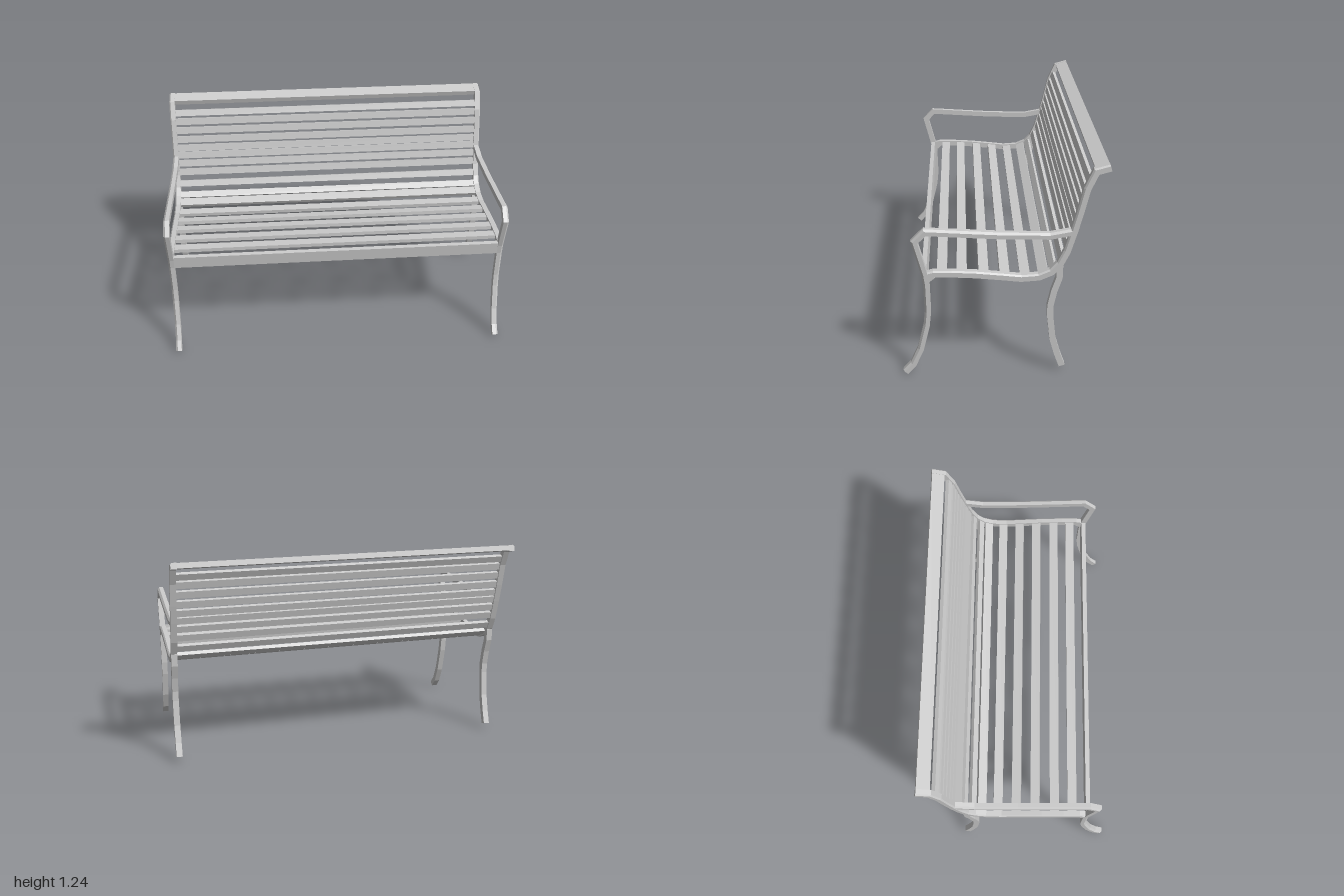
import * as THREE from 'three';

const material = new THREE.MeshStandardMaterial({ color: 0xcccccc, flatShading: true, side: THREE.DoubleSide });
const OUTER = 1.0, INNER = 0.965;

// Side profiles as [z, y] centre lines
const legAndArm = [
  [0.535, 0], [0.491, 0.05], [0.448, 0.145], [0.41, 0.3], [0.401, 0.38], [0.404, 0.55],
  [0.412, 0.61], [0.432, 0.69], [0.461, 0.804], [0.405, 0.861], [0.2, 0.847], [0, 0.834],
  [-0.25, 0.827], [-0.365, 0.848],
];
const seatAndBack = [
  [0.4, 0.607], [0.365, 0.616], [0.27, 0.615], [0.14, 0.607], [0, 0.592], [-0.1, 0.58],
  [-0.195, 0.586], [-0.262, 0.615], [-0.305, 0.662], [-0.34, 0.735], [-0.375, 0.855],
  [-0.402, 0.96], [-0.432, 1.09], [-0.475, 1.187], [-0.548, 1.207],
];
const rearLeg = [
  [-0.333, 0.022], [-0.305, 0.1], [-0.277, 0.2], [-0.26, 0.35], [-0.26, 0.41],
  [-0.278, 0.5], [-0.304, 0.58], [-0.305, 0.65],
];

// Sweep a bar along a side profile; the outer front edge is chamfered
function bar(path, width, chamfer, side) {
  const h = width / 2;
  const section = [[-h, INNER], [-h, OUTER]];
  if (chamfer) section.push([h - chamfer, OUTER], [h, OUTER - chamfer]);
  else section.push([h, OUTER]);
  section.push([h, INNER]);
  if (side < 0) section.reverse();
  const n = section.length, positions = [], index = [];

  path.forEach(([z, y], i) => {
    const p = new THREE.Vector2(z, y);
    const prev = new THREE.Vector2(...path[Math.max(i - 1, 0)]);
    const next = new THREE.Vector2(...path[Math.min(i + 1, path.length - 1)]);
    const a = p.clone().sub(prev).normalize(), b = next.sub(p).normalize();
    const t = a.clone().add(b).normalize();
    const mitre = 1 / Math.max(t.dot(i ? a : b), 0.6);
    for (const [off, x] of section) {
      positions.push(side * x, y - t.x * off * mitre, z + t.y * off * mitre);
    }
    if (i === 0) return;
    for (let k = 0; k < n; k++) {
      const k2 = (k + 1) % n, r0 = (i - 1) * n, r1 = i * n;
      index.push(r0 + k, r1 + k, r1 + k2, r0 + k, r1 + k2, r0 + k2);
    }
  });
  // End caps
  const last = (path.length - 1) * n;
  for (let k = 1; k < n - 1; k++) index.push(0, k, k + 1, last, last + k + 1, last + k);

  const geometry = new THREE.BufferGeometry();
  geometry.setAttribute('position', new THREE.Float32BufferAttribute(positions, 3));
  geometry.setIndex(index);
  const flat = geometry.toNonIndexed();
  flat.computeVertexNormals();
  return flat;
}

function addMesh(parent, name, geometry) {
  const mesh = new THREE.Mesh(geometry, material);
  mesh.name = name;
  parent.add(mesh);
  return mesh;
}

// Slat centred on [z, y], lying along the direction [dz, dy]
function slat(parent, name, [z, y], [dz, dy], width, thickness) {
  const mesh = addMesh(parent, name, new THREE.BoxGeometry(2 * INNER + 0.004, thickness, width));
  mesh.position.set(0, y, z);
  mesh.rotation.x = Math.atan2(-dy, dz);
}

// Last point of the seat curve where the chosen axis (0 = z, 1 = y) has the value
function locate(axis, value) {
  for (let i = seatAndBack.length - 2; i >= 0; i--) {
    const a = seatAndBack[i], b = seatAndBack[i + 1];
    const f = (value - a[axis]) / (b[axis] - a[axis]);
    if (f >= 0 && f <= 1) {
      const d = [b[0] - a[0], b[1] - a[1]];
      return { point: [a[0] + d[0] * f, a[1] + d[1] * f], direction: d };
    }
  }
}

export function createModel() {
  const bench = new THREE.Group();
  bench.name = 'bench';

  // Two mirrored end frames
  for (const side of [1, -1]) {
    const frame = new THREE.Group();
    frame.name = side > 0 ? 'leftFrame' : 'rightFrame';
    addMesh(frame, 'frontLegAndArmrest', bar(legAndArm, 0.034, 0.011, side));
    addMesh(frame, 'seatAndBackRail', bar(seatAndBack, 0.036, 0.008, side));
    addMesh(frame, 'rearLeg', bar(rearLeg, 0.034, 0, side));
    // Small brace in the corner under the seat
    addMesh(frame, 'cornerBrace', bar([[0.4, 0.575], [0.365, 0.605]], 0.024, 0, side));
    bench.add(frame);
  }

  // Seat slats
  const seat = new THREE.Group();
  seat.name = 'seatSlats';
  for (const z of [0.32, 0.215, 0.1, -0.012, -0.122, -0.22]) {
    const { point, direction } = locate(0, z);
    slat(seat, 'seatSlat', point, direction, 0.054, 0.022);
  }
  slat(seat, 'frontApron', [0.412, 0.588], [0.006, 0.075], 0.076, 0.026);
  bench.add(seat);

  // Back slats
  const back = new THREE.Group();
  back.name = 'backSlats';
  for (const y of [0.625, 0.685, 0.755, 0.81, 0.862, 0.908, 0.962, 1.02, 1.077, 1.128]) {
    const { point, direction } = locate(1, y);
    slat(back, 'backSlat', point, direction, 0.04, 0.022);
  }
  slat(back, 'topSlat', [-0.51, 1.198], [-0.073, 0.02], 0.076, 0.03);
  bench.add(back);

  return bench;
}
